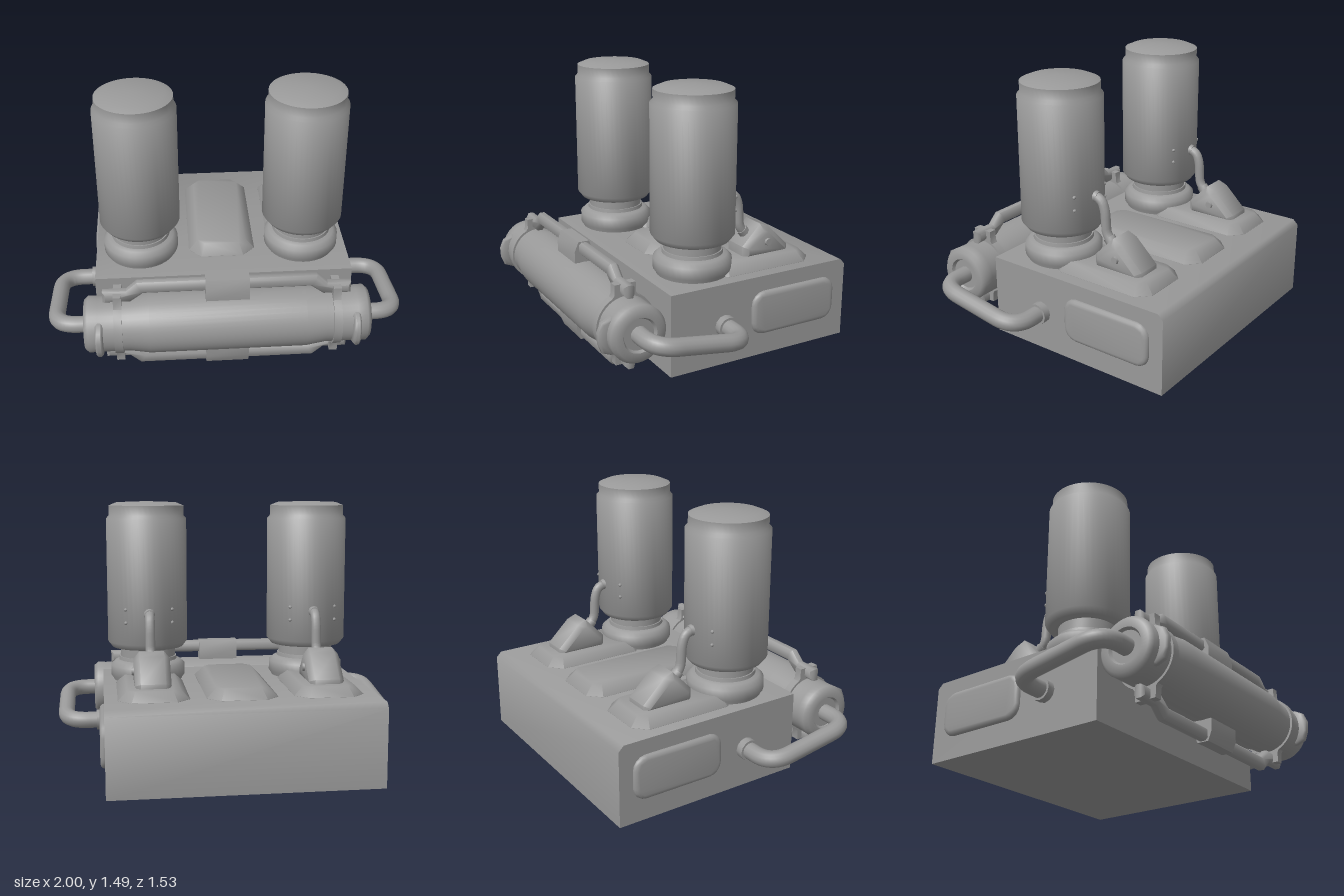
import * as THREE from 'three';
import { toCreasedNormals } from 'three/addons/utils/BufferGeometryUtils.js';

const material = new THREE.MeshStandardMaterial({ color: 0x999999 });

// Chamfers shade softly, right angles stay sharp
function add(parent, name, geometry, x = 0, y = 0, z = 0) {
  const mesh = new THREE.Mesh(toCreasedNormals(geometry, 1.0), material);
  mesh.name = name;
  mesh.position.set(x, y, z);
  parent.add(mesh);
  return mesh;
}

const shapeOf = (pts) => new THREE.Shape(pts.map(([a, b]) => new THREE.Vector2(a, b)));
const lathe = (pts, n = 40) => new THREE.LatheGeometry(pts.map(([r, y]) => new THREE.Vector2(r, y)), n);

// Extrusion centred on its depth; the bevel stays inside the outline
function slab(pts, depth, bevel = 0, segments = 1) {
  const g = new THREE.ExtrudeGeometry(shapeOf(pts), {
    depth: depth - 2 * bevel, bevelEnabled: bevel > 0, bevelSize: bevel,
    bevelThickness: bevel, bevelOffset: -bevel, bevelSegments: segments,
  });
  return g.translate(0, 0, -depth / 2 + bevel);
}

// Rectangle with cut corners
function cutRect(w, h, c) {
  const a = w / 2, b = h / 2;
  return [[a - c, -b], [a, -b + c], [a, b - c], [a - c, b], [-a + c, b], [-a, b - c], [-a, -b + c], [-a + c, -b]];
}

// Rectangle with rounded corners
function roundRect(w, h, r) {
  const pts = [];
  for (let q = 0; q < 4; q++) {
    const cx = (q === 0 || q === 3 ? 1 : -1) * (w / 2 - r), cy = (q < 2 ? 1 : -1) * (h / 2 - r);
    for (let i = 0; i <= 4; i++) {
      const t = (q + i / 4) * Math.PI / 2;
      pts.push([cx + r * Math.cos(t), cy + r * Math.sin(t)]);
    }
  }
  return pts;
}

// Pipe through points with rounded bends
function pipe(points, radius, bend, sides = 14) {
  const p = points.map((a) => new THREE.Vector3(...a));
  const path = new THREE.CurvePath();
  let last = p[0];
  for (let i = 1; i < p.length - 1; i++) {
    const a = p[i].clone().add(p[i - 1].clone().sub(p[i]).setLength(bend));
    const b = p[i].clone().add(p[i + 1].clone().sub(p[i]).setLength(bend));
    path.add(new THREE.LineCurve3(last, a));
    path.add(new THREE.QuadraticBezierCurve3(a, p[i], b));
    last = b;
  }
  path.add(new THREE.LineCurve3(last, p[p.length - 1]));
  return new THREE.TubeGeometry(path, 56, radius, sides, false);
}

// Canister on its flange, with the feed hose and valve housing behind it
function buildCanister(x) {
  const g = new THREE.Group();
  g.name = 'canisterUnit';
  g.position.x = x;
  add(g, 'mountingFlange', lathe([[0, 0.44], [0.2, 0.44], [0.2, 0.465], [0.215, 0.485], [0.215, 0.545], [0.19, 0.568],
    [0.168, 0.575], [0.165, 0.595], [0, 0.595]]), 0, 0, 0.08);
  add(g, 'neck', new THREE.CylinderGeometry(0.158, 0.158, 0.09, 40), 0, 0.62, 0.08);
  add(g, 'canister', lathe([[0, 0.652], [0.205, 0.652], [0.23, 0.685], [0.23, 1.39], [0.214, 1.408],
    [0.214, 1.464], [0.17, 1.482], [0, 1.488]], 48), 0, 0, 0.08);

  // Rivets on both sides of the hose
  for (const s of [-1, 1]) for (const y of [0.81, 0.885]) {
    add(g, 'rivet', new THREE.SphereGeometry(0.01, 10, 6), s * 0.13, y, -0.108);
  }

  add(g, 'hoseCollar', new THREE.CylinderGeometry(0.026, 0.034, 0.025, 12).rotateX(-Math.PI / 2), 0, 0.862, -0.155);
  add(g, 'hose', pipe([[0, 0.865, -0.13], [0, 0.85, -0.19], [0, 0.79, -0.212], [0, 0.665, -0.22], [0, 0.59, -0.28]], 0.027, 0.03, 12));
  const socket = add(g, 'hoseSocket', new THREE.CylinderGeometry(0.033, 0.033, 0.04, 8), 0, 0.63, -0.25);
  socket.rotation.x = 0.7;

  // Pad and wedge-shaped housing
  add(g, 'pad', slab(cutRect(0.38, 0.635, 0.07), 0.102, 0.05).rotateX(-Math.PI / 2), 0, 0.46, -0.288);
  const wedge = [[0.2, 0.49], [0.2, 0.565], [0.315, 0.682], [0.37, 0.66], [0.5, 0.535], [0.5, 0.49]];
  add(g, 'valveHousing', slab(wedge, 0.195, 0.03).rotateY(Math.PI / 2));
  add(g, 'housingBolt', new THREE.CylinderGeometry(0.02, 0.024, 0.02, 8).rotateZ(-Math.PI / 2), 0.1, 0.58, -0.35);
  return g;
}

// Rail with grip and clamps; used above and below the cylinder
function buildRail() {
  const g = new THREE.Group();
  g.name = 'clampRail';
  const half = [[0.49, 0.285], [0.55, 0.23], [0.68, 0.23], [0.68, 0.16], [0.53, 0.16], [0.46, 0.215]];
  const outline = [...half, ...half.map(([x, y]) => [-x, y]).reverse()];
  add(g, 'rail', slab(outline, 0.06, 0.015));
  add(g, 'railGrip', slab([[-0.055, 0.17], [0.055, 0.17], [0.055, 0.235], [0.032, 0.29], [-0.032, 0.29], [-0.055, 0.235]], 0.24)
    .rotateY(Math.PI / 2));
  for (const s of [-1, 1]) {
    add(g, 'clampLug', slab([[-0.085, 0.13], [0.085, 0.13], [0.062, 0.165], [0.06, 0.222], [-0.06, 0.222], [-0.062, 0.165]], 0.045)
      .rotateY(Math.PI / 2), s * 0.6);
  }
  return g;
}

// Horizontal cylinder across the front
function buildCylinder() {
  const g = new THREE.Group();
  g.name = 'frontCylinder';
  g.position.set(0, 0.31, 0.565);
  const half = [[0.172, 0.43], [0.155, 0.54], [0.155, 0.715], [0.157, 0.765], [0.137, 0.787],
    [0.095, 0.787], [0.085, 0.77], [0, 0.77]];
  const profile = [...half.map(([r, y]) => [r, -y]).reverse(), ...half];
  add(g, 'cylinderBody', lathe(profile, 40).rotateZ(-Math.PI / 2));

  for (const s of [-1, 1]) {
    add(g, 'clampBand', new THREE.CylinderGeometry(0.167, 0.167, 0.045, 40).rotateZ(Math.PI / 2), s * 0.6);
    // Tapered stop fin facing forward
    add(g, 'stopFin', slab([[-0.1, 0.1], [-0.13, 0.1], [-0.178, 0.075], [-0.2, 0.025], [-0.197, -0.035],
      [-0.178, -0.085], [-0.13, -0.105], [-0.1, -0.105]], 0.04, 0.011).rotateY(Math.PI / 2), s * 0.703);
  }
  const top = buildRail(), bottom = buildRail();
  bottom.rotation.x = Math.PI;
  g.add(top, bottom);
  return g;
}

export function createModel() {
  const model = new THREE.Group();
  model.name = 'twinCanisterUnit';

  // Base block with a chamfered rear edge
  add(model, 'base', slab([[-0.36, 0], [-0.36, 0.46], [0.735, 0.46], [0.765, 0.43], [0.765, 0]], 1.464).rotateY(Math.PI / 2));
  add(model, 'centrePad', slab(cutRect(0.385, 0.8, 0.07), 0.11, 0.054).rotateX(-Math.PI / 2), 0, 0.46, -0.21);

  for (const s of [-1, 1]) {
    model.add(buildCanister(s * 0.47));
    add(model, 'sidePanel', slab(roundRect(0.545, 0.25, 0.075), 0.06, 0.025, 3).rotateY(Math.PI / 2), s * 0.726, 0.25, -0.412);

    // Pipe from the base side to the cylinder end
    add(model, 'sidePipe', pipe([[s * 0.7, 0.225, 0.03], [s * 0.952, 0.225, 0.03], [s * 0.952, 0.31, 0.565], [s * 0.75, 0.31, 0.565]], 0.047, 0.13));
    add(model, 'pipeCollar', new THREE.CylinderGeometry(0.06, 0.06, 0.05, 12).rotateZ(Math.PI / 2), s * 0.75, 0.225, 0.03);
  }

  model.add(buildCylinder());
  return model;
}
